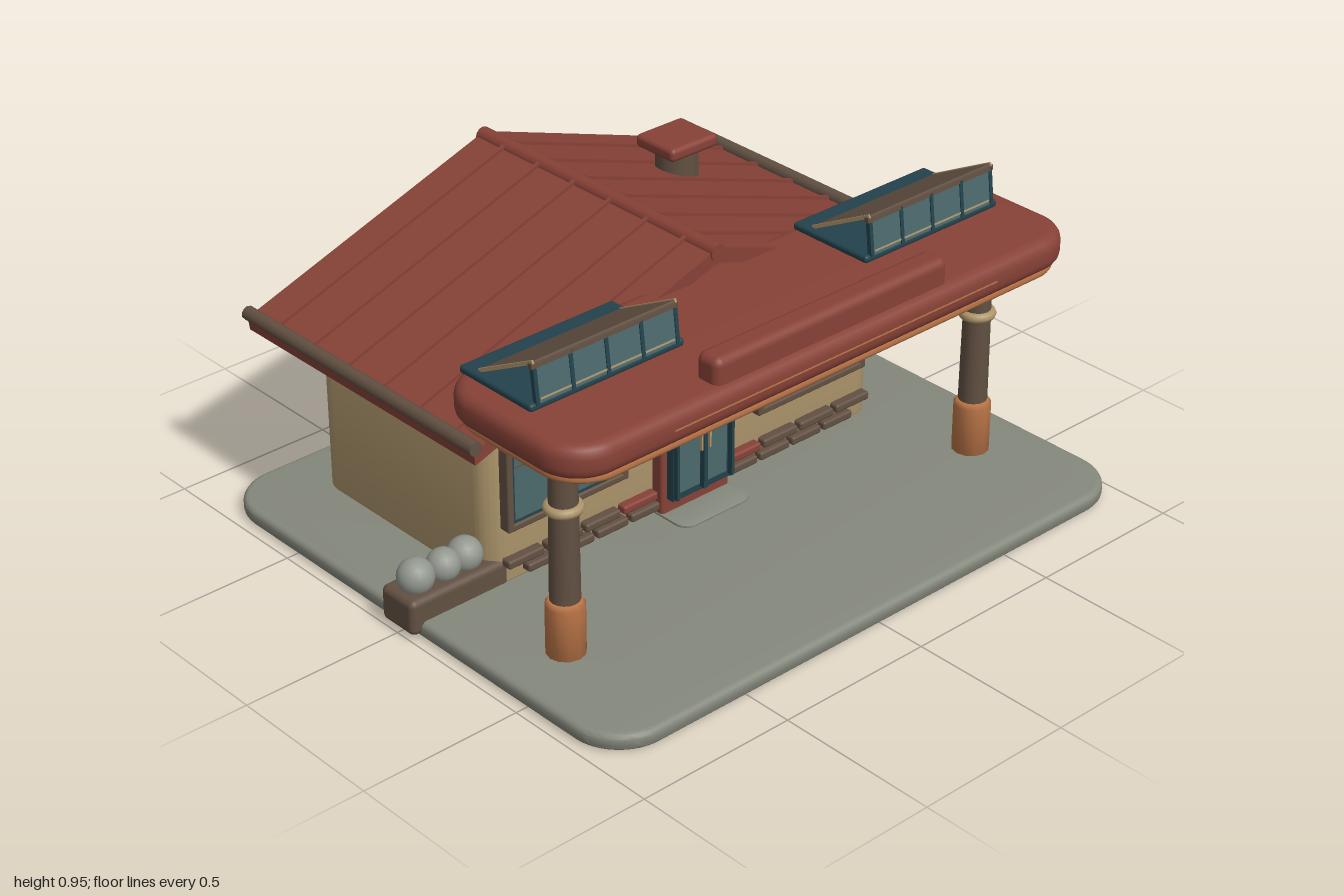
import * as THREE from 'three';
import { toCreasedNormals } from 'three/addons/utils/BufferGeometryUtils.js';
import { RoundedBoxGeometry } from 'three/addons/geometries/RoundedBoxGeometry.js';

const paint = (name, color, side = THREE.FrontSide) => {
  const m = new THREE.MeshStandardMaterial({ color, side });
  m.name = name;
  return m;
};

// Rounded-corner slab lying flat, with bevelled rims, from y = 0 to y = h
function slabGeometry(w, d, h, r, bevel) {
  const x = w / 2 - bevel, y = d / 2 - bevel, s = new THREE.Shape();
  s.absarc(x - r, y - r, r, 0, Math.PI / 2);
  s.absarc(-x + r, y - r, r, Math.PI / 2, Math.PI);
  s.absarc(-x + r, -y + r, r, Math.PI, Math.PI * 1.5);
  s.absarc(x - r, -y + r, r, Math.PI * 1.5, Math.PI * 2);
  const g = new THREE.ExtrudeGeometry(s, {
    depth: h - 2 * bevel, bevelEnabled: true, bevelThickness: bevel,
    bevelSize: bevel, bevelSegments: 4, curveSegments: 8,
  });
  g.translate(0, 0, bevel).rotateX(-Math.PI / 2);
  return toCreasedNormals(g, 0.7);
}

// Polygon in x-y swept from z0 to z1
function prismGeometry(points, z0, z1) {
  const s = new THREE.Shape(points.map(([x, y]) => new THREE.Vector2(x, y)));
  return new THREE.ExtrudeGeometry(s, { depth: z1 - z0, bevelEnabled: false }).translate(0, 0, z0);
}

export function createModel() {
  const red = paint('roof red', 0x874237);
  const brown = paint('timber brown', 0x625042);
  const tan = paint('plaster tan', 0xae966c);
  const glass = paint('window glass', 0x4b696c);
  const teal = paint('dark teal frame', 0x23424c);
  const copper = paint('copper orange', 0xbb7548);
  const grey = paint('paving grey', 0x85887c);
  const stone = paint('stone grey', 0x92978f);
  const clothBrown = paint('awning brown', 0x625042, THREE.DoubleSide);
  const clothTan = paint('awning tan', 0xae966c, THREE.DoubleSide);

  const model = new THREE.Group();
  const house = new THREE.Group();
  house.name = 'house';
  house.position.x = 0.015;
  model.add(house);

  const add = (name, g, m, x = 0, y = 0, z = 0, parent = house) => {
    const mesh = new THREE.Mesh(g, m);
    mesh.name = name;
    mesh.position.set(x, y, z);
    parent.add(mesh);
    return mesh;
  };
  const box = (name, m, w, h, d, x, y, z, parent) =>
    add(name, new THREE.BoxGeometry(w, h, d), m, x, y, z, parent);
  const round = (name, m, w, h, d, r, x, y, z, parent) =>
    add(name, new RoundedBoxGeometry(w, h, d, 3, r), m, x, y, z, parent);

  // Paving and walls
  add('basePlate', slabGeometry(1.97, 1.705, 0.052, 0.14, 0.018), grey);
  add('doorStep', slabGeometry(0.27, 0.2, 0.008, 0.04, 0.002), grey, -0.015, 0.052, 0.11);
  add('walls', slabGeometry(1.475, 0.77, 0.55, 0.06, 0.012), tan, 0, 0.045, -0.315);

  // Gable roof: folded shell, gable infill, ridge, eave beams and seams
  add('roofShell', prismGeometry([[-0.87, 0.585], [-0.865, 0.545], [0, 0.84], [0.865, 0.545],
    [0.87, 0.585], [0, 0.885]], -0.825, 0.175), red);
  add('gables', prismGeometry([[-0.8, 0.575], [0.8, 0.575], [0, 0.85]], -0.76, 0.1), red);
  const ridge = add('ridgeCap', new THREE.CylinderGeometry(0.026, 0.026, 1.01, 12), red, -0.002, 0.872, -0.325);
  ridge.rotation.x = Math.PI / 2;
  const slope = Math.atan(0.3 / 0.87);
  for (const s of [-1, 1]) {
    const eave = add('eaveBeam', new THREE.CylinderGeometry(0.021, 0.021, 1.01, 10), brown, s * 0.865, 0.597, -0.325);
    eave.rotation.x = Math.PI / 2;
    for (let i = 0; i < 6; i++) {
      const seam = box('roofSeam', red, 0.88, 0.014, 0.012, s * 0.435, 0.738, 0.065 - i * 0.155);
      seam.rotation.z = -s * slope;
    }
  }

  // Roof vent
  add('ventNeck', new THREE.CylinderGeometry(0.065, 0.065, 0.13, 20), brown, 0.46, 0.755, -0.495);
  round('ventCap', red, 0.185, 0.042, 0.165, 0.015, 0.46, 0.825, -0.495);

  // Entrance canopy
  add('canopyTrim', slabGeometry(1.85, 0.53, 0.035, 0.12, 0.012), copper, 0, 0.69, 0.382);
  add('canopy', slabGeometry(1.885, 0.555, 0.1, 0.1, 0.035), red, 0, 0.707, 0.382);
  box('canopyLine', copper, 1.2, 0.004, 0.006, 0, 0.757, 0.658);
  round('canopyParapet', red, 0.86, 0.1, 0.085, 0.025, 0, 0.832, 0.59);

  for (const s of [-1, 1]) {
    // Canopy posts
    const post = new THREE.Group();
    post.name = 'post';
    post.position.set(s * 0.782, 0, 0.43);
    house.add(post);
    add('postFoot', new THREE.LatheGeometry([[0, 0.05], [0.056, 0.05], [0.056, 0.205], [0.046, 0.22], [0, 0.22]]
      .map(([x, y]) => new THREE.Vector2(x, y)), 12), copper, 0, 0, 0, post);
    add('postShaft', new THREE.CylinderGeometry(0.039, 0.043, 0.475, 16), brown, 0, 0.455, 0, post);
    const collar = add('postCollar', new THREE.TorusGeometry(0.041, 0.015, 8, 24), tan, 0, 0.503, 0, post);
    collar.rotation.x = Math.PI / 2;

    // Clerestory window on the canopy, propped open under a sloped shade
    const light = new THREE.Group();
    light.name = 'clerestory';
    light.position.set(s * 0.602, 0, 0);
    house.add(light);
    round('clerestoryBase', teal, 0.53, 0.024, 0.29, 0.01, 0, 0.815, 0.265, light);
    const front = new THREE.Group();
    front.name = 'clerestoryFront';
    front.position.set(0, 0.82, 0.405);
    front.rotation.x = -0.12;
    light.add(front);
    box('clerestoryGlass', glass, 0.49, 0.105, 0.008, 0, 0.055, 0, front);
    box('clerestoryRail', brown, 0.5, 0.016, 0.014, 0, 0.11, 0, front);
    box('clerestorySill', tan, 0.46, 0.005, 0.012, 0, 0.014, 0, front);
    for (let i = 0; i <= 4; i++) box('clerestoryBar', teal, 0.012, 0.11, 0.014, -0.24 + i * 0.12, 0.055, 0, front);
    const shade = box('clerestoryShade', brown, 0.49, 0.009, 0.245, 0, 0.882, 0.288, light);
    shade.rotation.x = -0.485;
    for (const e of [-1, 1]) {
      const edge = box('shadeEdge', tan, 0.006, 0.011, 0.245, e * 0.243, 0.884, 0.288, light);
      edge.rotation.x = -0.485;
    }

    // Front windows
    const win = new THREE.Group();
    win.name = 'frontWindow';
    win.position.set(s * 0.468 - 0.012, 0.353, 0.08);
    house.add(win);
    box('windowPane', glass, 0.4, 0.22, 0.02, 0, 0, 0, win);
    for (const e of [-1, 1]) {
      round('windowRail', brown, 0.435, 0.022, 0.04, 0.006, 0, e * 0.118, 0, win);
      round('windowStile', brown, 0.022, 0.258, 0.04, 0.006, e * 0.207, 0, 0, win);
      box('windowInnerRail', teal, 0.39, 0.008, 0.026, 0, e * 0.104, 0, win);
      box('windowInnerStile', teal, 0.008, 0.21, 0.026, e * 0.193, 0, 0, win);
    }
    box('windowMullion', brown, 0.012, 0.22, 0.03, 0, 0, 0, win);
    box('windowBlindLine', brown, 0.38, 0.005, 0.024, 0, 0.065, 0, win);
  }

  // Double door in a red surround
  const door = new THREE.Group();
  door.name = 'entrance';
  door.position.x = -0.018;
  house.add(door);
  round('doorSurround', red, 0.26, 0.475, 0.05, 0.01, 0, 0.288, 0.085, door);
  box('doorFrame', teal, 0.222, 0.39, 0.03, 0, 0.3, 0.12, door);
  for (const s of [-1, 1]) {
    box('doorGlass', glass, 0.082, 0.345, 0.012, s * 0.052, 0.3, 0.132, door);
    box('doorStile', teal, 0.01, 0.37, 0.02, s * 0.105, 0.3, 0.142, door);
    box('doorHandle', tan, 0.006, 0.07, 0.008, s * 0.016, 0.28, 0.15, door);
  }
  box('doorMeeting', teal, 0.014, 0.37, 0.02, 0, 0.3, 0.142, door);

  // Curved striped awning
  const width = 0.12;
  for (let i = 0; i < 5; i++) {
    const g = new THREE.CylinderGeometry(1, 1, width, 10, 1, true, 0, Math.PI / 2);
    g.rotateZ(Math.PI / 2);
    const p = g.attributes.position;
    for (let v = 0; v < p.count; v++) {
      p.setXYZ(v, p.getX(v), 0.46 + 0.09 * Math.abs(p.getY(v)), 0.065 + 0.145 * Math.abs(p.getZ(v)));
    }
    g.computeVertexNormals();
    add('awningStripe', g, i % 2 ? clothTan : clothBrown, -0.14 + i * width, 0, 0);
  }

  // Two courses of facing bricks on either side of the door
  const bricks = (x0, x1, y, redIndex) => {
    const n = Math.round((x1 - x0) / 0.138), step = (x1 - x0) / n;
    for (let i = 0; i < n; i++) {
      round('brick', i === redIndex ? red : brown, step - 0.012, 0.027, 0.035, 0.008,
        x0 + step * (i + 0.5), y, 0.082);
    }
  };
  bricks(-0.705, -0.145, 0.12, 3);
  bricks(0.11, 0.7, 0.12, 0);
  bricks(-0.635, -0.13, 0.082, -1);
  bricks(0.115, 0.63, 0.082, -1);

  // Side planter filled with boulders
  round('planter', brown, 0.34, 0.11, 0.14, 0.02, -0.845, 0.068, 0);
  [[-0.945, 0.152, 0.054], [-0.85, 0.147, 0.05], [-0.775, 0.15, 0.052]].forEach(([x, y, r]) =>
    add('boulder', new THREE.SphereGeometry(r, 16, 12), stone, x, y, 0));

  return model;
}
